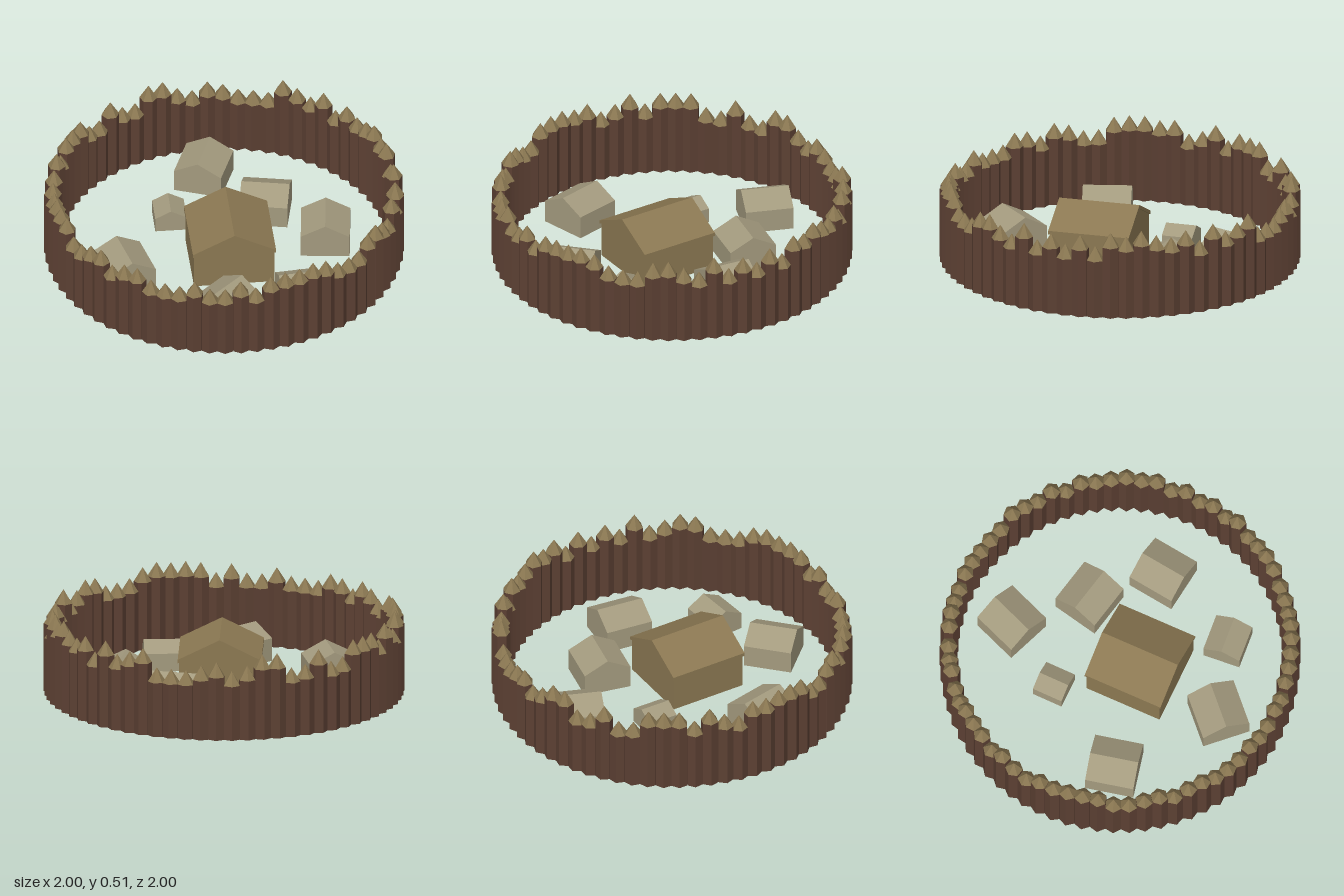
import * as THREE from 'three';

const flat = (geometry) => {
  const g = geometry.index ? geometry.toNonIndexed() : geometry;
  g.computeVertexNormals();
  return g;
};

const material = (name, color) => {
  const m = new THREE.MeshStandardMaterial({ color });
  m.name = name;
  return m;
};

const part = (name, geometry, mat, parent) => {
  const mesh = new THREE.Mesh(geometry, mat);
  mesh.name = name;
  parent.add(mesh);
  return mesh;
};

// Outline in x/y pushed along z and centred
function prism(points, depth) {
  const shape = new THREE.Shape(points.map(([x, y]) => new THREE.Vector2(x, y)));
  const g = new THREE.ExtrudeGeometry(shape, { depth, bevelEnabled: false });
  g.translate(0, 0, -depth / 2);
  return flat(g);
}

// Gabled block: eaves and ridge heights are given, the ridge runs along z
function gable(width, depth, eave, ridge) {
  const w = width / 2;
  return prism([[-w, 0], [w, 0], [w, eave], [0, ridge], [-w, eave]], depth);
}

export function createModel() {
  const model = new THREE.Group();
  model.name = 'palisadeVillage';

  const bark = material('dark brown bark', 0x5c4033);
  const timber = material('tan timber', 0x8b7852);
  const straw = material('pale grey straw', 0xa39a7e);

  // Palisade: ring of six-sided stakes, tip heights in hundredths starting at +x
  const tips = [
    45, 49, 48, 42, 42, 43, 48, 50, 49, 49, 48, 42, 47, 42, 42, 46, 42, 42,
    42, 47, 46, 42, 48, 46, 42, 42, 49, 50, 50, 48, 49, 42, 45, 50, 43, 49,
    49, 49, 41, 40, 48, 41, 40, 49, 49, 43, 40, 45, 43, 40, 40, 40, 50, 47,
    44, 50, 42, 49, 46, 48, 51, 48, 50, 42, 48, 42, 47, 42, 50, 42,
  ];
  const palisade = new THREE.Group();
  palisade.name = 'palisade';
  model.add(palisade);
  const ring = 0.95, radius = 0.05, bottom = 0.01, tipHeight = 0.08;
  const tipGeometry = flat(new THREE.ConeGeometry(radius, tipHeight, 6));
  const trunkGeometry = flat(new THREE.CylinderGeometry(radius, radius, 1, 6));
  tips.forEach((tip, i) => {
    const a = (i / tips.length) * Math.PI * 2;
    const top = tip / 100 - tipHeight;
    const stake = new THREE.Group();
    stake.name = 'stake';
    stake.position.set(ring * Math.cos(a), 0, ring * Math.sin(a));
    stake.rotation.y = Math.PI / 2 - a; // one corner points outward
    palisade.add(stake);
    const trunk = part('stakeTrunk', trunkGeometry, bark, stake);
    trunk.scale.y = top - bottom;
    trunk.position.y = (top + bottom) / 2;
    part('stakeTip', tipGeometry, timber, stake).position.y = top + tipHeight / 2;
  });

  // Great hall: walls under a thin overhanging roof
  const hall = new THREE.Group();
  hall.name = 'greatHall';
  hall.position.set(0.073, 0, 0.088);
  hall.rotation.y = 0.505;
  model.add(hall);
  part('hallWalls', gable(0.45, 0.445, 0.205, 0.315), timber, hall);
  const e = 0.232;
  part('hallRoof', prism([
    [-e, 0.2], [0, 0.315], [e, 0.2], [e, 0.22], [0, 0.335], [-e, 0.22],
  ], 0.462), timber, hall);

  // Huts: x, z, turn, size
  const huts = [
    [-0.348, -0.54, 0.136, 0.27],
    [0.083, -0.398, 1.868, 0.27],
    [0.497, -0.27, 0.384, 0.272],
    [-0.374, -0.11, 0.494, 0.175],
    [0.551, 0.26, 2.159, 0.212],
    [-0.396, 0.484, 0.73, 0.273],
    [0.254, 0.575, -0.303, 0.27],
  ];
  for (const [x, z, turn, size] of huts) {
    const hut = part('hut', gable(size, size, size * 0.48, size * 0.74), straw, model);
    hut.position.set(x, 0.005, z);
    hut.rotation.y = turn;
  }
  return model;
}
